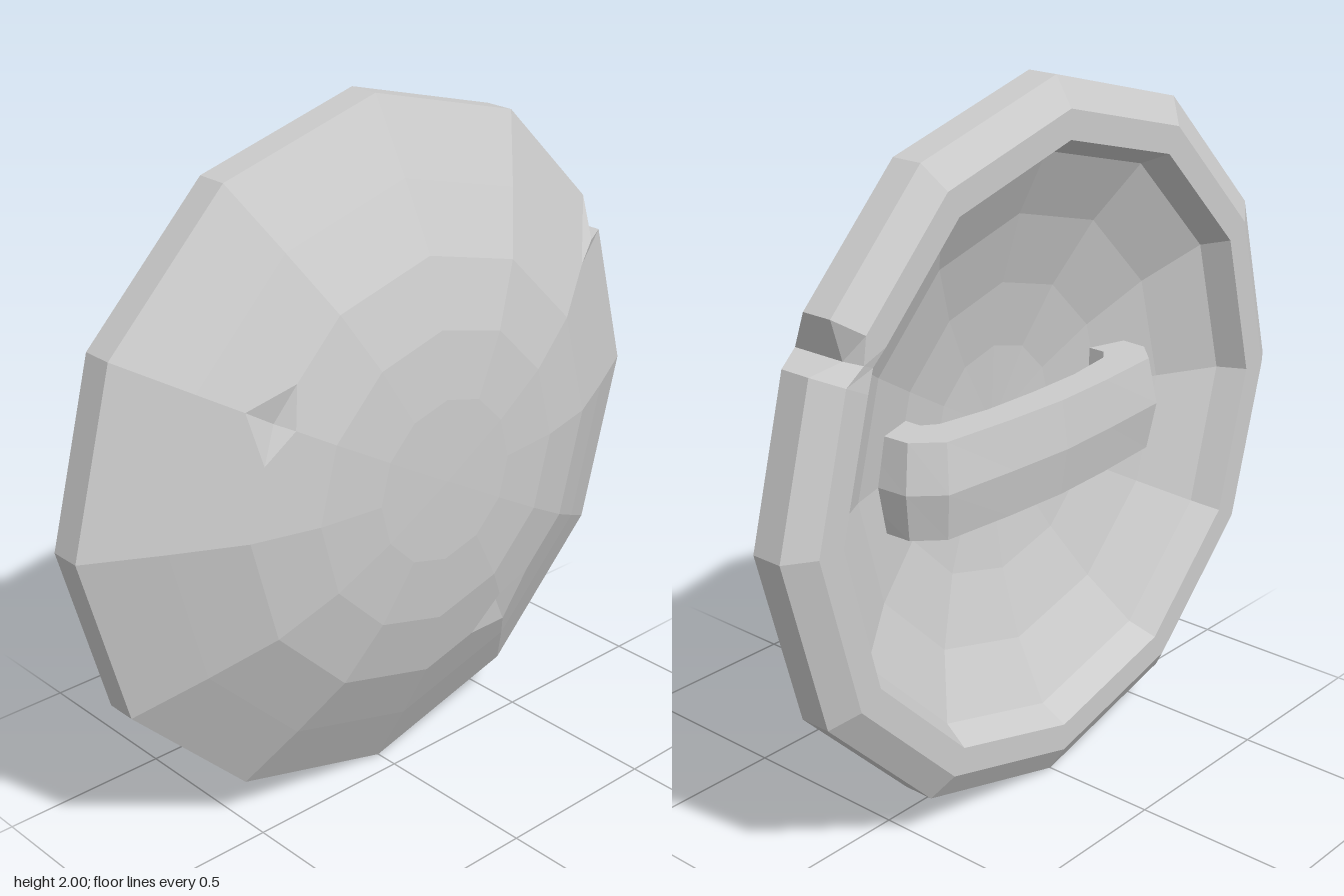
import * as THREE from 'three';

const V = (x, y, z) => new THREE.Vector3(x, y, z);
const material = new THREE.MeshStandardMaterial({ color: 0xcccccc, flatShading: true });

// Collects polygons as fans of triangles, skipping collapsed ones
class Facets {
  constructor() { this.points = []; }
  add(poly) {
    for (let i = 1; i < poly.length - 1; i++) {
      const [a, b, c] = [poly[0], poly[i], poly[i + 1]];
      const area = b.clone().sub(a).cross(c.clone().sub(a)).length();
      if (area > 1e-7) this.points.push(a, b, c);
    }
  }
  mesh(name) {
    const g = new THREE.BufferGeometry().setFromPoints(this.points);
    g.computeVertexNormals();
    const m = new THREE.Mesh(g, material);
    m.name = name;
    return m;
  }
}

// Profile [radius, z] from the front centre, round the rim, to the back centre
const PROFILE = [
  [0, 0.21], [0.235, 0.205], [0.425, 0.185], [0.615, 0.135], [0.8, 0.04],
  [1, -0.07], [1, -0.16], [0.92, -0.21], [0.84, -0.21],
  [0.8, -0.13], [0.62, -0.04], [0.42, 0.02], [0.235, 0.05], [0, 0.06],
];
const RIM_START = 5, RIM_END = 8;

// Notch floor for each rim ring
const NOTCH = [[0.775, 0.445, 0], [0.775, 0.445, -0.16], [0.755, 0.44, -0.21], [0.72, 0.425, -0.205]];

// Columns every 30 degrees; the one at 30 degrees is tripled for the notch
function ring(i) {
  const [r, z] = PROFILE[i];
  const out = [];
  for (let k = 0; k < 12; k++) {
    const a = k * Math.PI / 6;
    const p = V(r * Math.cos(a), r * Math.sin(a), z);
    if (k !== 1) out.push(p);
    else if (i >= RIM_START && i <= RIM_END) {
      out.push(V(r * 0.885, r * 0.435, z), V(...NOTCH[i - RIM_START]), V(r * 0.81, r * 0.556, z));
    } else out.push(p, p, p);
  }
  return out;
}

function makeShell() {
  const f = new Facets();
  const rings = PROFILE.map((_, i) => ring(i));
  const n = rings[0].length;

  // Battle dents: corner to knock in, how far they reach, and the pit point
  const dents = [
    { corner: rings[3][7], reach: 0.36, pit: V(-0.51, 0.29, 0.11) },
    { corner: rings[3][12], reach: 0.42, pit: V(0.29, -0.5, 0.115) },
  ];

  for (let i = 0; i < rings.length - 1; i++) {
    for (let j = 0; j < n; j++) {
      const k = (j + 1) % n;
      const cell = [rings[i][j], rings[i + 1][j], rings[i + 1][k], rings[i][k]];
      const poly = [];
      cell.forEach((p, c) => {
        const dent = dents.find(d => d.corner === p);
        if (!dent) { poly.push(p); return; }
        const before = p.clone().lerp(cell[(c + 3) % 4], dent.reach);
        const after = p.clone().lerp(cell[(c + 1) % 4], dent.reach);
        poly.push(before, after);
        f.add([before, dent.pit, after]);
      });
      f.add(poly);
    }
  }
  return f.mesh('shieldShell');
}

function makeHandle() {
  const f = new Facets();
  const h = 0.135;
  // Stations [outer x, outer z, inner x, inner z] from one foot to the middle
  const half = [
    [0.5, 0.1, 0.38, 0.1],
    [0.49, -0.09, 0.38, -0.03],
    [0.42, -0.16, 0.34, -0.06],
    [0.2, -0.18, 0.18, -0.085],
  ];
  const stations = [...half, [0, -0.19, 0, -0.09],
    ...half.slice().reverse().map(([a, b, c, d]) => [-a, b, -c, d])];

  // Five-sided section with a ridge along the grip's outer face
  const sections = stations.map(([ox, oz, ix, iz]) => [
    V(ox, h, oz),
    V(ox + (ox - ix) * 0.2, 0, oz + (oz - iz) * 0.2),
    V(ox, -h, oz),
    V(ix, -h, iz),
    V(ix, h, iz),
  ]);
  for (let s = 0; s < sections.length - 1; s++) {
    for (let k = 0; k < 5; k++) {
      const m = (k + 1) % 5;
      f.add([sections[s][k], sections[s][m], sections[s + 1][m], sections[s + 1][k]]);
    }
  }
  f.add(sections[0].slice().reverse());
  f.add(sections[sections.length - 1]);
  return f.mesh('handle');
}

export function createModel() {
  const group = new THREE.Group();
  group.name = 'roundShield';
  group.add(makeShell(), makeHandle());
  for (const part of group.children) part.position.y = 1;
  return group;
}
